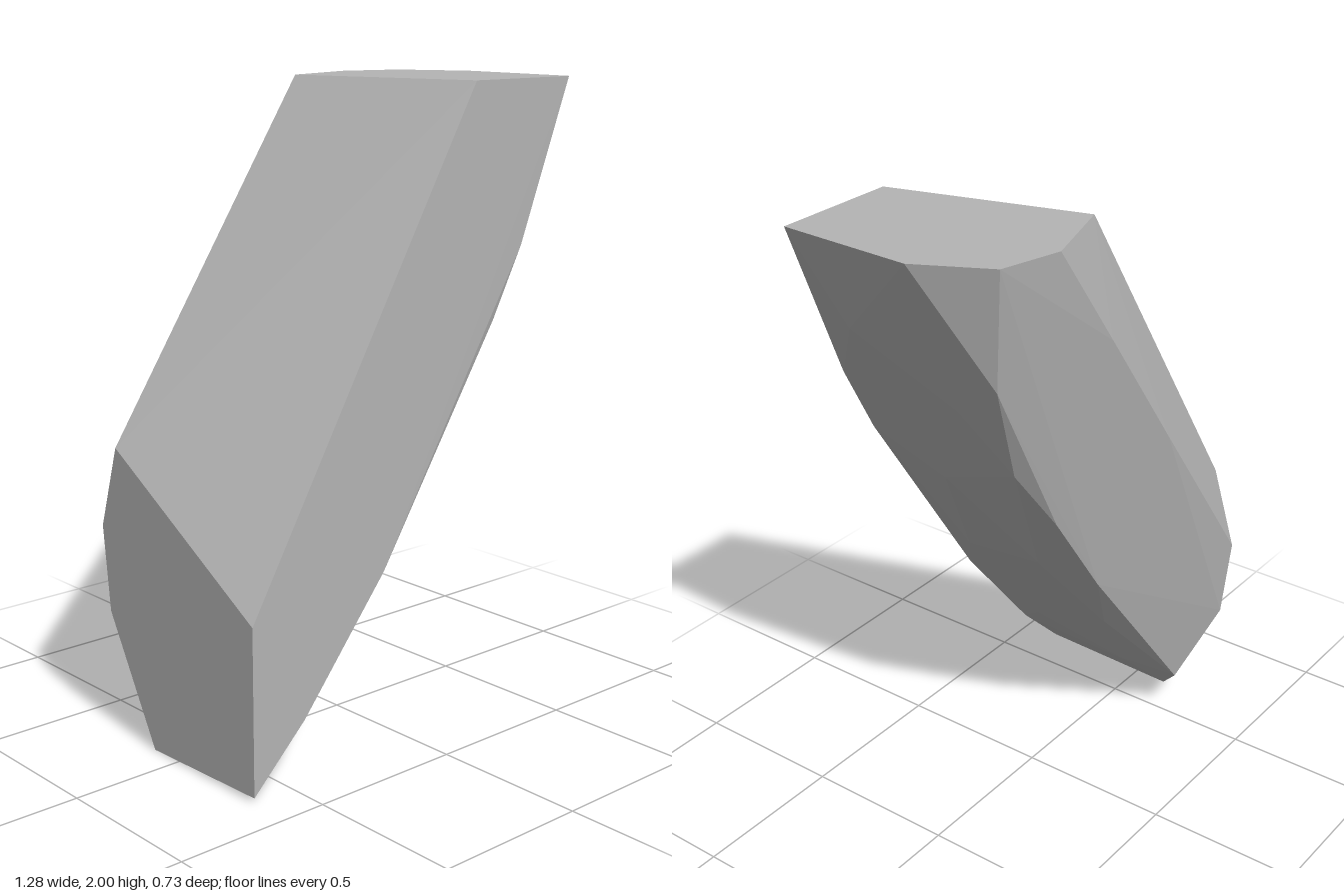
import * as THREE from 'three';
import { ConvexGeometry } from 'three/addons/geometries/ConvexGeometry.js';

// A broken, faceted stone shard: flat top, flat end, bowed underside.
export function createModel() {
  const stone = new THREE.MeshStandardMaterial({ color: 0xb4b4b4 });
  stone.name = 'grey stone';

  // flat top cut at y = 2, as [x, z]
  const top = [[0.05, -0.25], [0.22, 0.365], [0.625, 0.365], [0.64, -0.07], [0.525, -0.29], [0.33, -0.34]]
    .map(([x, z]) => [x, 2, z]);

  // flat end cut at x = -0.64, as [y, z]
  const end = [[0.53, 0.365], [0.92, -0.28], [0.66, -0.36], [0.39, -0.33], [0, -0.115], [0.015, 0.365]]
    .map(([y, z]) => [-0.64, y, z]);

  // bowed underside: front edge, irregular middle, back edge
  const frontEdge = [[-0.45, 0.2, 0.365], [-0.14, 0.58, 0.365], [0.32, 1.28, 0.355], [0.43, 1.5, 0.362]];
  const underside = [
    [-0.43, 0.2, -0.07], [-0.305, 0.35, 0.2], [-0.165, 0.53, -0.17], [0.015, 0.77, 0.24],
    [0.05, 0.82, -0.06], [0.26, 1.15, 0.13], [0.325, 1.28, -0.18], [0.435, 1.5, -0.06], [0.525, 1.7, 0.24],
  ];
  const backEdge = [[-0.5, 0.16, -0.245], [-0.38, 0.3, -0.2], [-0.02, 0.77, -0.24], [0.18, 1.07, -0.225], [0.465, 1.61, -0.23]];

  // slight swell of the back face
  const back = [[-0.2, 1.25, -0.365], [0.1, 1.67, -0.356]];

  const points = [...top, ...end, ...frontEdge, ...underside, ...backEdge, ...back]
    .map((p) => new THREE.Vector3(...p));
  const shard = new THREE.Mesh(new ConvexGeometry(points), stone);
  shard.name = 'stoneShard';

  const group = new THREE.Group();
  group.name = 'brokenStone';
  group.add(shard);
  return group;
}
